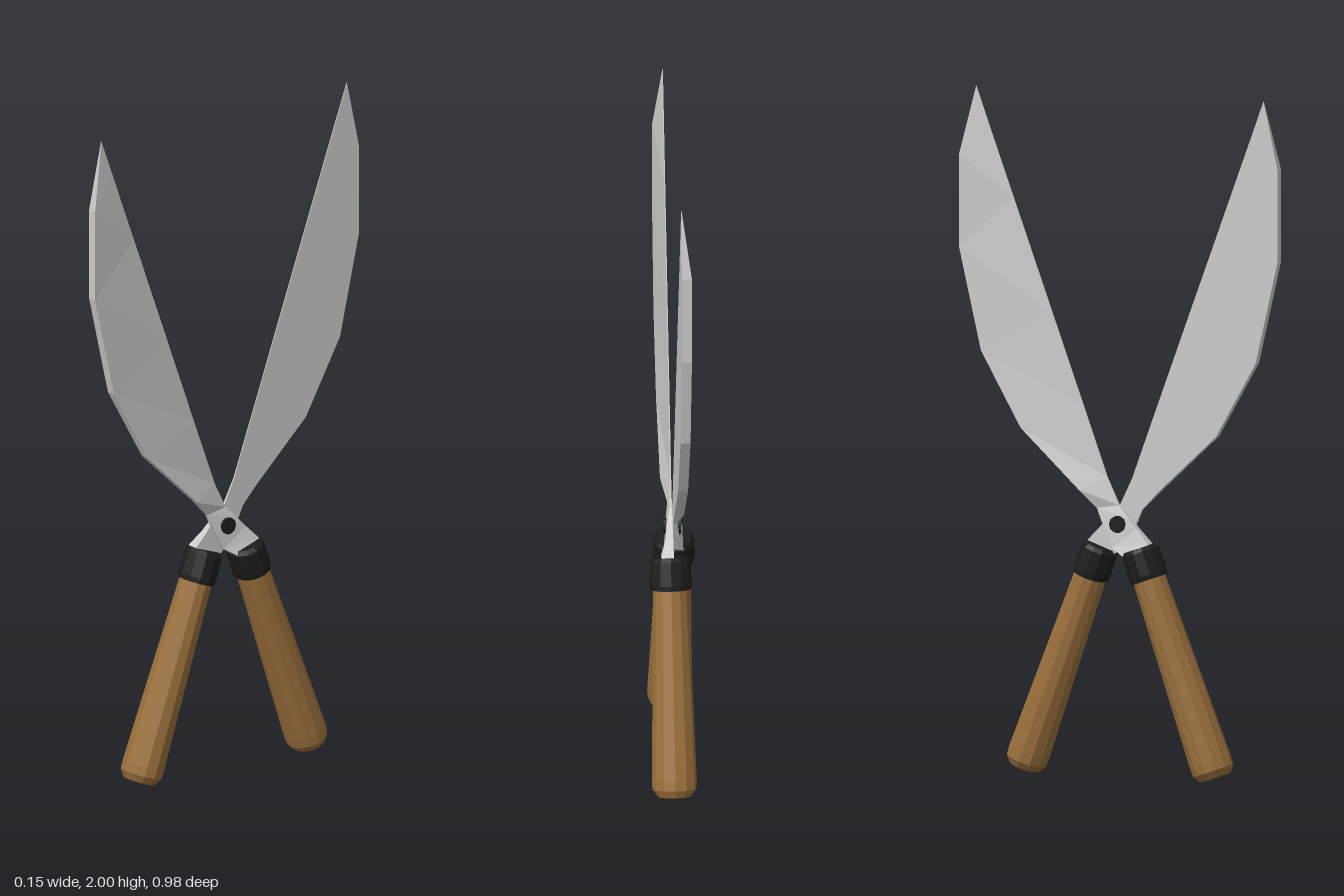
import * as THREE from 'three';

const mat = (color, extra = {}) => new THREE.MeshStandardMaterial({ color, flatShading: true, ...extra });
const steel = mat(0xcccccc, { side: THREE.DoubleSide });
const wood = mat(0x9a6f3c);
const black = mat(0x1c1c1c);

// Blade and tang sections: spine z, y, edge z, y, spine thickness, edge thickness
const SECTIONS = [
  [0.445, 2.0, 0.444, 1.998, 0.002, 0.002],
  [0.488, 1.8, 0.409, 1.9, 0.029, 0.003],
  [0.488, 1.53, 0.329, 1.68, 0.029, 0.003],
  [0.42, 1.23, 0.209, 1.35, 0.029, 0.003],
  [0.297, 1.01, 0.111, 1.08, 0.029, 0.003],
  [0.117, 0.838, 0.037, 0.875, 0.028, 0.004],
  [0.068, 0.785, 0.0, 0.797, 0.01, 0.008],
  [0.042, 0.727, -0.035, 0.76, 0.018, 0.018],
  [0.016, 0.675, -0.062, 0.73, 0.022, 0.022],
  [-0.022, 0.65, -0.1, 0.69, 0.036, 0.036],
  [-0.045, 0.62, -0.11, 0.645, 0.036, 0.036],
];

// Lofts four-cornered sections into a flat-faced strip closed at both ends
function bladeGeometry() {
  const rings = SECTIONS.map(([sz, sy, ez, ey, st, et]) =>
    [[0, sy, sz], [st, sy, sz], [et, ey, ez], [0, ey, ez]]);
  const pos = [];
  const quad = (a, b, c, d) => pos.push(...a, ...b, ...c, ...a, ...c, ...d);
  for (let i = 0; i < rings.length - 1; i++) {
    for (let k = 0; k < 4; k++) {
      const n = (k + 1) % 4;
      quad(rings[i][k], rings[i + 1][k], rings[i + 1][n], rings[i][n]);
    }
  }
  quad(...rings[0]);
  quad(...rings[rings.length - 1].slice().reverse());
  const g = new THREE.BufferGeometry();
  g.setAttribute('position', new THREE.Float32BufferAttribute(pos, 3));
  g.computeVertexNormals();
  return g;
}

function named(name, geometry, material) {
  const m = new THREE.Mesh(geometry, material);
  m.name = name;
  return m;
}

const lathe = (pts) => new THREE.LatheGeometry(pts.map(([r, y]) => new THREE.Vector2(r, y)), 12);

function shearHalf() {
  const half = new THREE.Group();
  half.add(named('blade', bladeGeometry(), steel));

  // Tilted wooden grip with a black collar
  const handle = new THREE.Group();
  handle.name = 'handle';
  const grip = named('grip', lathe([[0, 0], [0.046, 0], [0.061, 0.022], [0.062, 0.05], [0.047, 0.64], [0, 0.64]]), wood);
  const collar = named('collar', lathe([[0, 0.605], [0.055, 0.605], [0.057, 0.62], [0.055, 0.688], [0.046, 0.7], [0, 0.7]]), black);
  grip.scale.x = 1.05;
  collar.scale.x = 1.08;
  handle.add(grip, collar);
  handle.position.set(0.01, 0.016, -0.3);
  handle.rotation.x = 0.345;
  half.add(handle);
  return half;
}

export function createModel() {
  const model = new THREE.Group();
  model.name = 'hedgeShears';

  // Two identical halves, one turned half round
  const front = shearHalf();
  front.name = 'frontBladeHalf';
  const back = shearHalf();
  back.name = 'backBladeHalf';
  back.rotation.y = Math.PI;
  model.add(front, back);

  // Pivot bolt through both tangs
  const pivot = named('pivotBolt', new THREE.CylinderGeometry(0.025, 0.025, 0.05, 10), black);
  pivot.rotation.z = Math.PI / 2;
  pivot.position.y = 0.742;
  model.add(pivot);
  return model;
}
